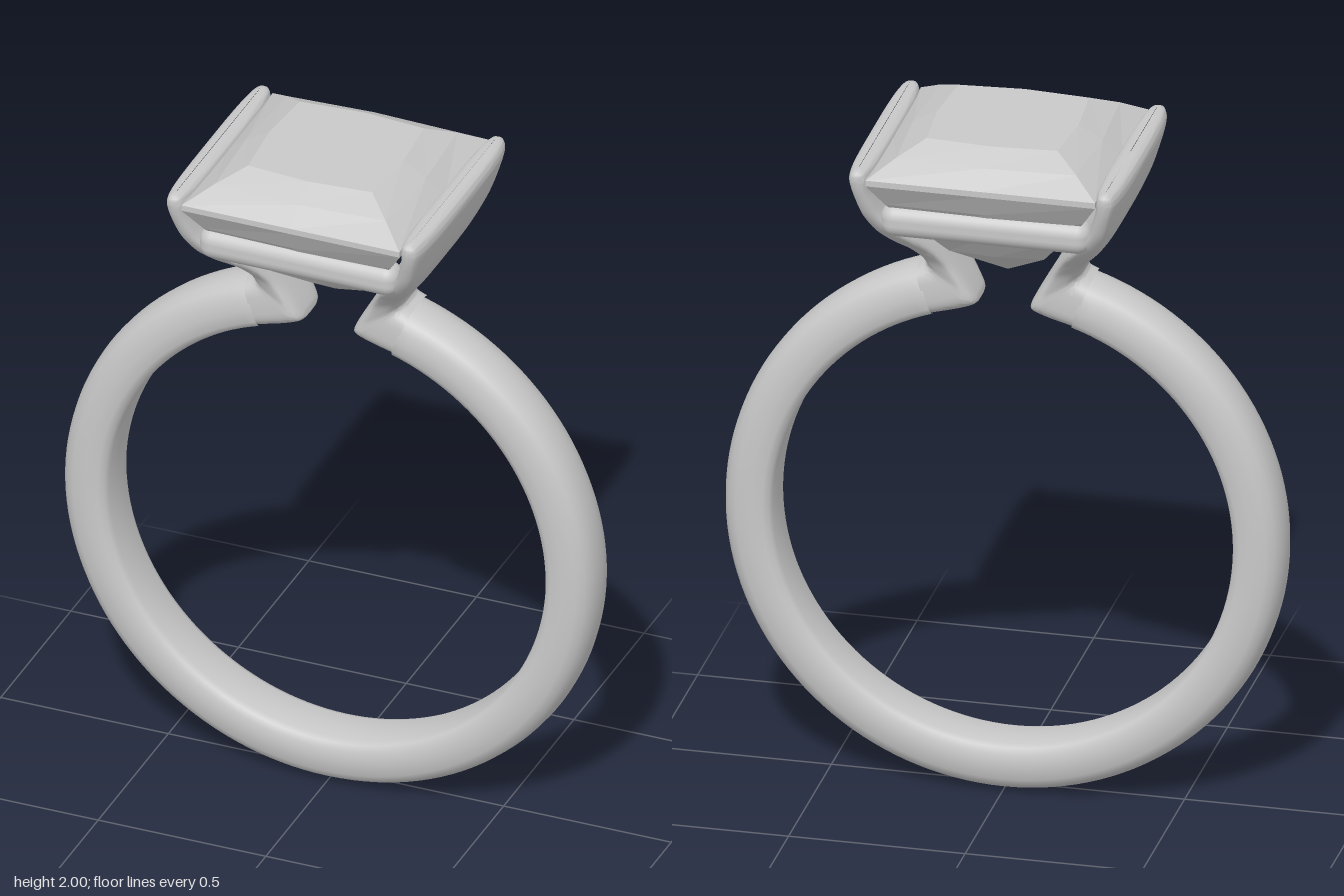
import * as THREE from 'three';
import { toCreasedNormals } from 'three/addons/utils/BufferGeometryUtils.js';
import { RoundedBoxGeometry } from 'three/addons/geometries/RoundedBoxGeometry.js';

const metal = new THREE.MeshStandardMaterial({ color: 0xc8c8c8 });
metal.name = 'silver grey';

// Skin between rows of points, each row a closed loop, ordered from bottom to top
function loft(rows) {
  const n = rows[0].length;
  const index = [];
  for (let i = 0; i < rows.length - 1; i++) {
    for (let j = 0; j < n; j++) {
      const k = (j + 1) % n;
      const a = i * n + j, b = i * n + k, c = a + n, d = b + n;
      index.push(a, c, b, b, c, d);
    }
  }
  const geometry = new THREE.BufferGeometry().setFromPoints(rows.flat());
  geometry.setIndex(index);
  return geometry;
}

function addMesh(parent, name, geometry) {
  const mesh = new THREE.Mesh(geometry, metal);
  mesh.name = name;
  parent.add(mesh);
  return mesh;
}

// Open band: domed outside, flatter inside, gap at the top
function bandGeometry() {
  const half = [
    [0.795, 0], [0.793, 0.025], [0.787, 0.05], [0.773, 0.072], [0.75, 0.086], [0.71, 0.09],
    [0.675, 0.088], [0.658, 0.078], [0.651, 0.06], [0.65, 0],
  ];
  const lower = half.slice(1).reverse().map(([r, z]) => [r, -z]);
  const profile = [...lower, ...half].map(([r, z]) => new THREE.Vector2(r, z));
  const gap = THREE.MathUtils.degToRad(17.5);
  const geometry = new THREE.LatheGeometry(profile, 128, gap, Math.PI * 2 - gap * 2);
  geometry.rotateX(-Math.PI / 2);
  geometry.translate(0, 0.795, 0);
  return toCreasedNormals(geometry, 0.7);
}

// Claw that leaves the band, leans outward and fans into a wide wall
function clawGeometry() {
  // inner x, inner y, outer x, outer y, half depth
  const sections = [
    [0.2, 1.413, 0.246, 1.551, 0.088],
    [0.12, 1.435, 0.226, 1.561, 0.088],
    [0.075, 1.455, 0.222, 1.567, 0.088],
    [0.085, 1.49, 0.222, 1.578, 0.089],
    [0.13, 1.57, 0.235, 1.605, 0.104],
    [0.165, 1.63, 0.265, 1.645, 0.145],
    [0.205, 1.69, 0.3, 1.69, 0.21],
    [0.245, 1.74, 0.333, 1.74, 0.262],
    [0.285, 1.8, 0.36, 1.8, 0.298],
    [0.308, 1.87, 0.38, 1.87, 0.322],
    [0.312, 1.915, 0.388, 1.91, 0.33],
    [0.322, 1.935, 0.378, 1.934, 0.325],
    [0.35, 1.942, 0.351, 1.942, 0.3],
  ];
  const curve = (f) => new THREE.CatmullRomCurve3(sections.map(f), false, 'catmullrom', 0.4);
  const inner = curve((s) => new THREE.Vector3(s[0], s[1], s[4]));
  const outer = curve((s) => new THREE.Vector3(s[2], s[3], s[4]));
  const round = (v) => Math.sign(v) * Math.abs(v) ** 0.55;
  const rows = [];
  const steps = (sections.length - 1) * 4;
  for (let i = 0; i <= steps; i++) {
    const a = inner.getPoint(i / steps), b = outer.getPoint(i / steps);
    const row = [];
    for (let j = 0; j < 40; j++) {
      const t = (j / 40) * Math.PI * 2;
      const p = a.clone().lerp(b, (1 + round(Math.cos(t))) / 2);
      p.z = a.z * round(Math.sin(t));
      row.push(p);
    }
    rows.push(row);
  }
  return toCreasedNormals(loft(rows), 0.8);
}

// Square-cut stone: pointed pavilion, thin girdle, stepped crown and flat table
function gemGeometry() {
  // height, corner half-size, middle-of-side half-size
  const levels = [
    [1.545, 0, 0],
    [1.645, 0.135, 0.15],
    [1.74, 0.21, 0.225],
    [1.83, 0.28, 0.285],
    [1.9, 0.325, 0.325],
    [1.917, 0.325, 0.325],
    [1.963, 0.255, 0.268],
    [2, 0.185, 0.2],
    [2, 0, 0],
  ];
  const rows = levels.map(([y, corner, middle]) => {
    const row = [];
    for (let j = 0; j < 8; j++) {
      const t = (j * Math.PI) / 4;
      const r = j % 2 ? corner * Math.SQRT2 : middle;
      row.push(new THREE.Vector3(Math.cos(t) * r, y, Math.sin(t) * r));
    }
    return row;
  });
  const geometry = loft(rows).toNonIndexed();
  geometry.computeVertexNormals();
  return geometry;
}

export function createModel() {
  const ring = new THREE.Group();
  ring.name = 'ring';

  addMesh(ring, 'band', bandGeometry());
  addMesh(ring, 'gemstone', gemGeometry());

  // Claws on both sides of the stone
  const claw = clawGeometry();
  addMesh(ring, 'leftClaw', claw);
  addMesh(ring, 'rightClaw', claw).rotation.y = Math.PI;

  // Rails under the girdle, front and back
  const rail = new RoundedBoxGeometry(0.595, 0.095, 0.09, 5, 0.04);
  addMesh(ring, 'frontRail', rail).position.set(0, 1.778, 0.248);
  addMesh(ring, 'backRail', rail).position.set(0, 1.778, -0.248);

  return ring;
}
